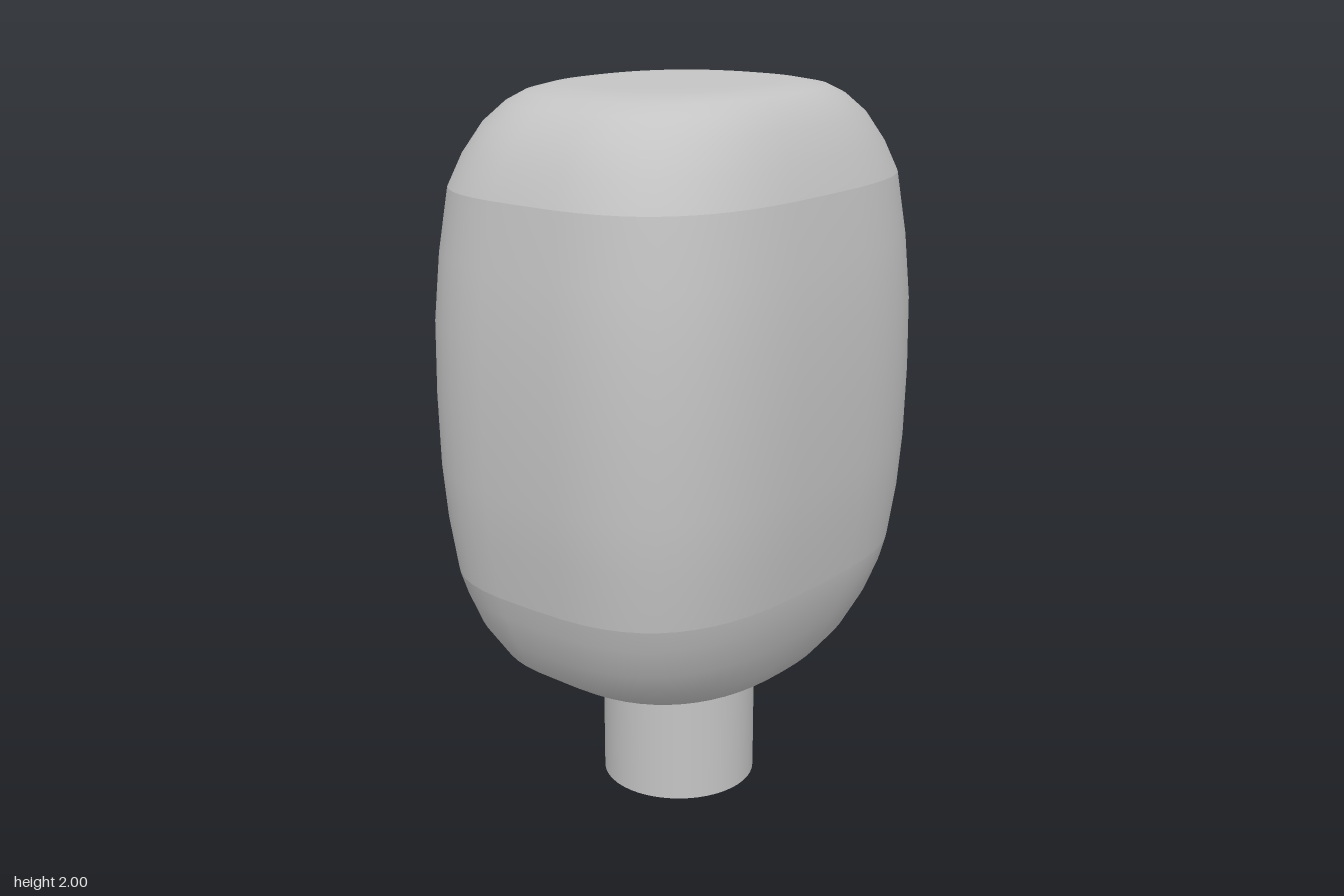
import * as THREE from 'three';

// Superellipse cross-sections: [y, half width, half depth, exponent]
const LOWER = [
  [0.38, 0.26, 0.26, 2], [0.38, 0.31, 0.28, 2.3], [0.385, 0.36, 0.32, 2.4], [0.405, 0.435, 0.37, 2.5],
  [0.46, 0.515, 0.41, 2.6], [0.55, 0.57, 0.45, 2.8], [0.64, 0.6, 0.48, 2.9], [0.7, 0.615, 0.49, 3],
];
const SIDES = [
  [0.7, 0.615, 0.49, 3], [0.85, 0.635, 0.51, 3], [1.0, 0.647, 0.52, 3], [1.2, 0.65, 0.525, 3],
  [1.4, 0.647, 0.522, 3], [1.58, 0.63, 0.508, 3], [1.75, 0.605, 0.483, 3],
];
const UPPER = [
  [1.75, 0.605, 0.483, 3], [1.83, 0.573, 0.455, 2.9], [1.91, 0.52, 0.415, 2.8], [1.96, 0.46, 0.375, 2.7],
  [1.985, 0.41, 0.34, 2.6], [1.998, 0.34, 0.3, 2.5], [2.0, 0.28, 0.24, 2.4], [2.0, 0, 0, 2],
];

const SEGMENTS = 56;

// Skin a stack of closed superellipse rings, lowest ring first
function loft(rings) {
  const positions = [], indices = [];
  const power = (v, e) => Math.sign(v) * Math.abs(v) ** e;
  rings.forEach(([y, a, b, n], j) => {
    for (let i = 0; i < SEGMENTS; i++) {
      const t = (i / SEGMENTS) * Math.PI * 2;
      positions.push(a * power(Math.cos(t), 2 / n), y, b * power(Math.sin(t), 2 / n));
      if (j === rings.length - 1) continue;
      const next = (i + 1) % SEGMENTS;
      const p = j * SEGMENTS + i, q = j * SEGMENTS + next;
      indices.push(p, p + SEGMENTS, q, q, p + SEGMENTS, q + SEGMENTS);
    }
  });
  const geometry = new THREE.BufferGeometry();
  geometry.setAttribute('position', new THREE.Float32BufferAttribute(positions, 3));
  geometry.setIndex(indices);
  geometry.computeVertexNormals();
  return geometry;
}

export function createModel() {
  const grey = new THREE.MeshStandardMaterial({ color: 0xc4c4c4 });
  grey.name = 'light grey';
  const model = new THREE.Group();
  model.name = 'paddedHeadOnStem';

  // Hollow cushion-shaped head, open underneath around the stem
  const head = new THREE.Group();
  head.name = 'head';
  const parts = { headLower: LOWER, headSides: SIDES, headUpper: UPPER };
  for (const [name, rings] of Object.entries(parts)) {
    const mesh = new THREE.Mesh(loft(rings), grey);
    mesh.name = name;
    head.add(mesh);
  }
  model.add(head);

  // Round stem rising into the head
  const stem = new THREE.Mesh(new THREE.CylinderGeometry(0.22, 0.22, 0.6, 48), grey);
  stem.name = 'stem';
  stem.position.y = 0.3;
  model.add(stem);

  return model;
}
